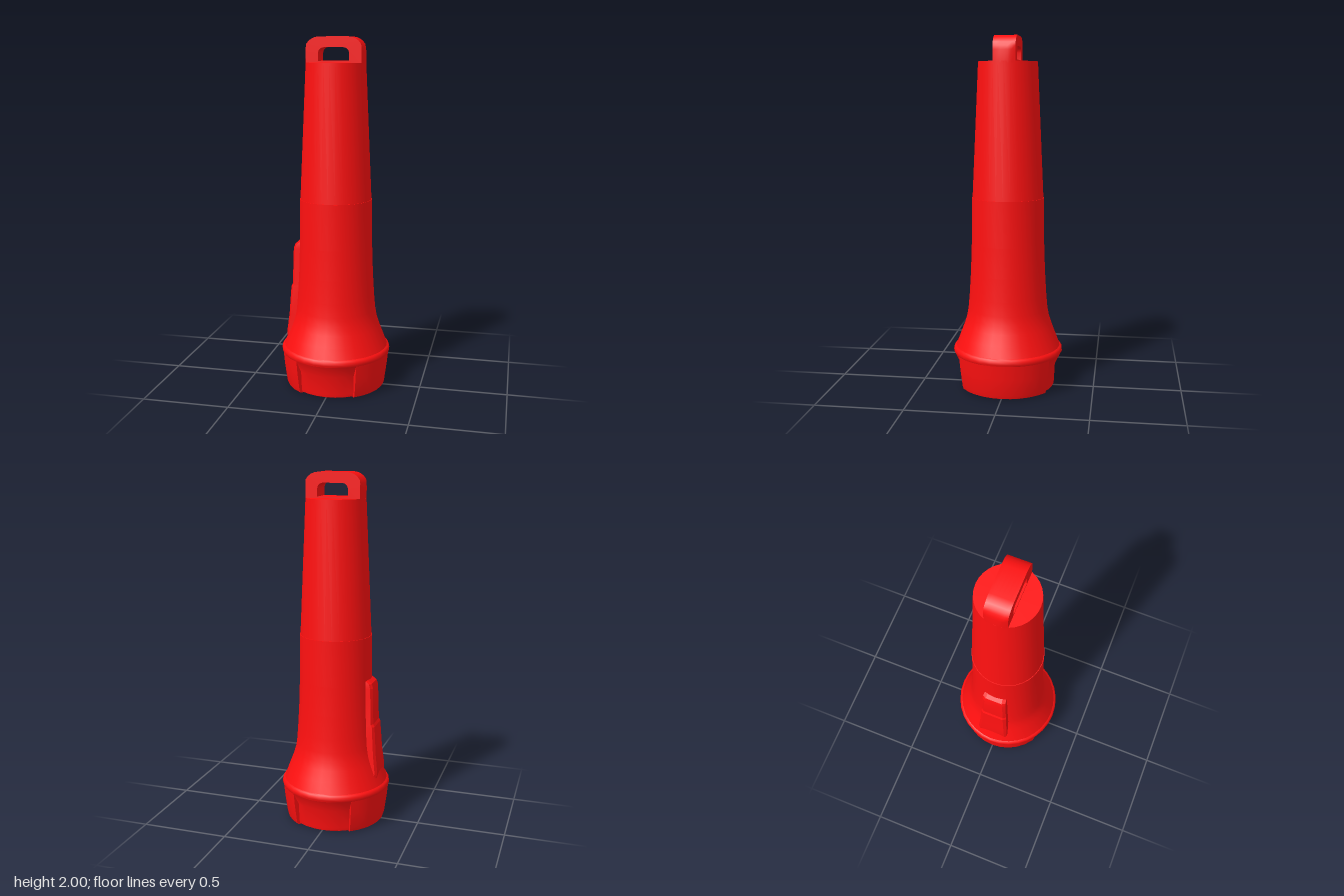
import * as THREE from 'three';
import { toCreasedNormals } from 'three/addons/utils/BufferGeometryUtils.js';

const red = new THREE.MeshStandardMaterial({ color: 0xff1010 });
const redThin = new THREE.MeshStandardMaterial({ color: 0xff1010, side: THREE.DoubleSide });
const green = new THREE.MeshStandardMaterial({ color: 0x0cc80c });
const SEG = 32;
const STEP = (Math.PI * 2) / SEG;

function mesh(name, geometry, material = red) {
  const m = new THREE.Mesh(geometry, material);
  m.name = name;
  return m;
}

// Turned surface from [radius, y] pairs, running upwards, over a span of segments
function turned(profile, from = 0, count = SEG, crease = 0.5) {
  const pts = profile.map(([r, y]) => new THREE.Vector2(r, y));
  return toCreasedNormals(new THREE.LatheGeometry(pts, count, from * STEP, count * STEP), crease);
}

// Head ring: full wall on the sides, stepped-in grip recess at front and back
function headRing() {
  const group = new THREE.Group();
  group.name = 'headRing';
  const wall = [[0.226, 0.008], [0.24, 0], [0.27, 0], [0.283, 0.006], [0.289, 0.025], [0.302, 0.12], [0.31, 0.2]];
  const recess = [[0.226, 0.008], [0.24, 0], [0.256, 0], [0.266, 0.006], [0.27, 0.025], [0.275, 0.13], [0.31, 0.2]];
  const outline = new THREE.Shape([...wall, ...recess.slice(2, -1).reverse()].map(([r, y]) => new THREE.Vector2(r, y)));
  for (const side of [0, 16]) {
    group.add(mesh('gripRecess', turned(recess, side - 3, 6)));
    group.add(mesh('ringWall', turned(wall, side + 3, 10)));
    // Small end walls of the recess
    for (const edge of [-3, 3]) {
      const end = mesh('recessEnd', new THREE.ShapeGeometry(outline), redThin);
      end.rotation.y = (side + edge) * STEP - Math.PI / 2;
      group.add(end);
    }
  }
  return group;
}

// Hanging loop: flat arch with a slot, its ends trimmed to the round of the body
function hangingLoop() {
  const half = 0.0625;
  const s = new THREE.Shape();
  s.moveTo(-0.166, 1.85);
  s.lineTo(0.166, 1.85);
  s.lineTo(0.164, 1.92);
  s.bezierCurveTo(0.16, 1.965, 0.13, 1.998, 0.08, 2);
  s.lineTo(-0.08, 2);
  s.bezierCurveTo(-0.13, 1.998, -0.16, 1.965, -0.164, 1.92);
  const h = new THREE.Path();
  h.moveTo(-0.087, 1.868);
  h.lineTo(-0.087, 1.91);
  h.quadraticCurveTo(-0.083, 1.94, -0.055, 1.942);
  h.lineTo(0.055, 1.942);
  h.quadraticCurveTo(0.083, 1.94, 0.087, 1.91);
  h.lineTo(0.087, 1.868);
  s.holes.push(h);
  const g = new THREE.ExtrudeGeometry(s, { depth: half * 2, steps: 6, bevelEnabled: false, curveSegments: 6 });
  g.translate(0, 0, -half);
  const p = g.attributes.position;
  for (let i = 0; i < p.count; i++) {
    const limit = Math.sqrt(0.167 ** 2 - p.getZ(i) ** 2);
    p.setX(i, THREE.MathUtils.clamp(p.getX(i), -limit, limit));
  }
  return toCreasedNormals(g, 0.6);
}

// Switch: bevelled strip lofted up the side; each row is y, reach, face half width, foot half width
function switchStrip() {
  const rows = [
    [0.27, 0.27, 0.085, 0.1],
    [0.32, 0.273, 0.08, 0.095],
    [0.42, 0.261, 0.072, 0.088],
    [0.585, 0.25, 0.064, 0.08],
    [0.6, 0.242, 0.062, 0.078],
    [0.81, 0.236, 0.055, 0.072],
    [0.835, 0.228, 0.05, 0.07],
    [0.86, 0.195, 0.045, 0.065],
  ];
  const pos = [];
  const index = [];
  rows.forEach(([y, x, w, f], r) => {
    pos.push(-x + 0.07, y, -f, -x + 0.012, y, -f, -x, y, -w);
    pos.push(-x, y, w, -x + 0.012, y, f, -x + 0.07, y, f);
    if (r === rows.length - 1) return;
    for (let i = 0; i < 5; i++) {
      const a = r * 6 + i;
      index.push(a, a + 1, a + 7, a, a + 7, a + 6);
    }
  });
  const g = new THREE.BufferGeometry();
  g.setAttribute('position', new THREE.Float32BufferAttribute(pos, 3));
  g.setIndex(index);
  return toCreasedNormals(g, 0.3);
}

export function createModel() {
  const model = new THREE.Group();
  model.name = 'flashlight';

  // Handle tube with flat end
  model.add(mesh('upperBody', turned([[0.202, 1.1], [0.167, 1.86], [0, 1.86]])));

  // Lower tube flaring out to the head
  model.add(mesh('lowerBody', turned([
    [0.3, 0.24], [0.277, 0.3], [0.254, 0.36], [0.238, 0.41], [0.229, 0.46],
    [0.222, 0.54], [0.214, 0.67], [0.208, 0.84], [0.205, 1.1], [0.202, 1.1],
  ])));

  // Rounded rim between body and head ring
  model.add(mesh('rim', turned([[0.31, 0.2], [0.315, 0.21], [0.314, 0.225], [0.308, 0.235], [0.3, 0.24]], 0, SEG, 0.9)));

  model.add(headRing());
  model.add(mesh('hangingLoop', hangingLoop()));
  model.add(mesh('switchStrip', switchStrip()));

  // Lens facing down
  const lens = mesh('lens', new THREE.CircleGeometry(0.226, SEG), green);
  lens.rotation.x = Math.PI / 2;
  lens.position.y = 0.008;
  model.add(lens);

  return model;
}
